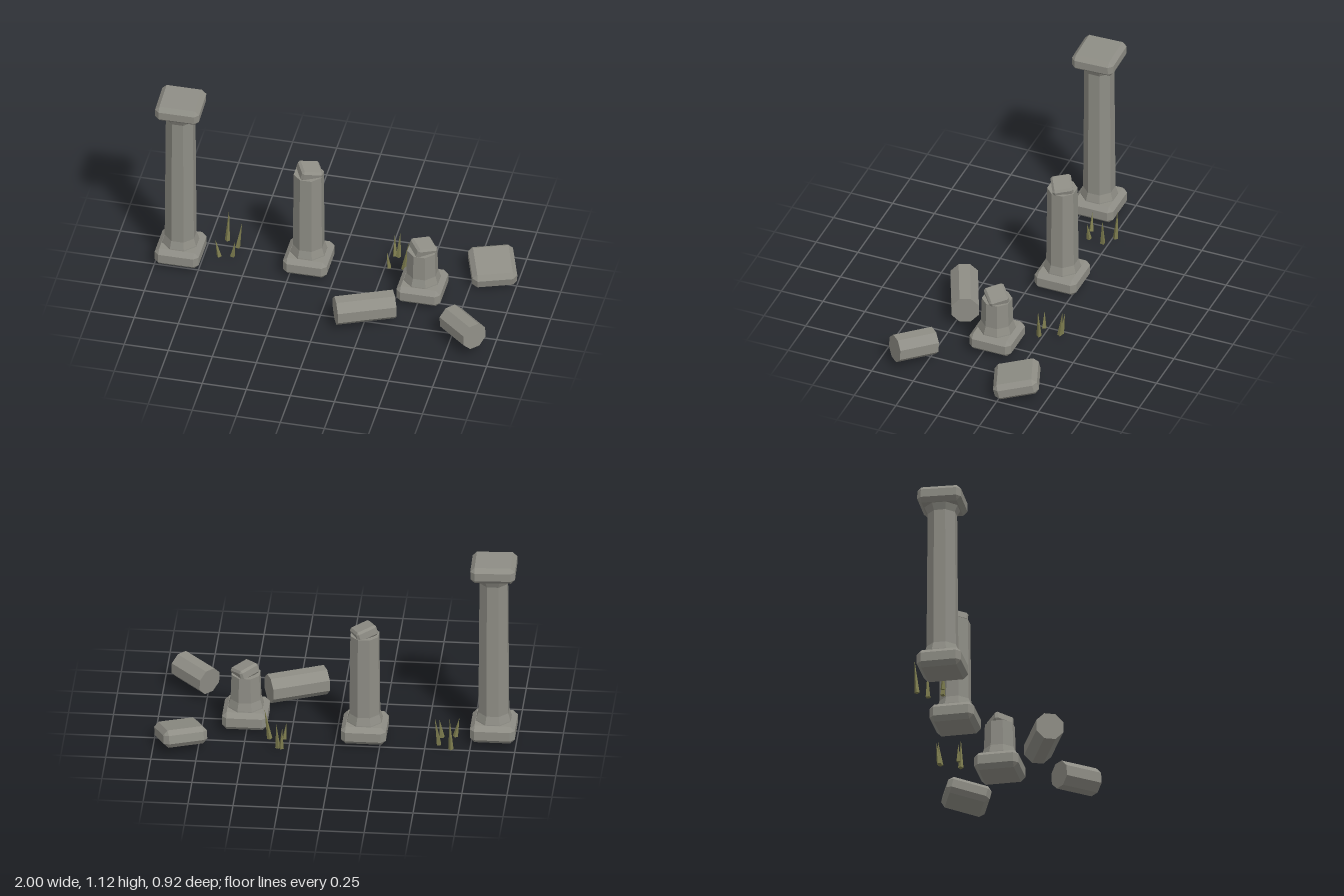
import * as THREE from 'three';
import { ConvexGeometry } from 'three/addons/geometries/ConvexGeometry.js';

export function createModel() {
  const root = new THREE.Group();
  root.name = 'ruinedColumns';
  const stone = new THREE.MeshStandardMaterial({ color: 0x8e8d85 });
  stone.name = 'stone';
  const grass = new THREE.MeshStandardMaterial({ color: 0x7d7c4e });
  grass.name = 'dryGrass';

  // Faceted normals for low-poly parts
  const faceted = (g) => {
    const f = g.index ? g.toNonIndexed() : g;
    f.computeVertexNormals();
    return f;
  };

  const add = (parent, name, geometry, material, x, y, z) => {
    const m = new THREE.Mesh(geometry, material);
    m.name = name;
    m.position.set(x, y, z);
    parent.add(m);
    return m;
  };

  // Block with every edge chamfered by b
  const block = (w, h, d, b) => {
    const pts = [];
    for (const sx of [-1, 1]) for (const sy of [-1, 1]) for (const sz of [-1, 1]) {
      const x = w / 2, y = h / 2, z = d / 2;
      pts.push(
        new THREE.Vector3(sx * x, sy * (y - b), sz * (z - b)),
        new THREE.Vector3(sx * (x - b), sy * y, sz * (z - b)),
        new THREE.Vector3(sx * (x - b), sy * (y - b), sz * z));
    }
    return faceted(new ConvexGeometry(pts));
  };

  // Eight-sided turned solid; radii are measured to the flats
  const octagon = (profile) => {
    const pts = profile.map(([r, y]) => new THREE.Vector2(r / Math.cos(Math.PI / 8), y));
    return faceted(new THREE.LatheGeometry(pts, 8).rotateY(Math.PI / 8));
  };

  const flare = [[0, 0.12], [0.098, 0.12], [0.096, 0.135], [0.083, 0.18]];
  const columns = [
    { name: 'tallColumn', x: -0.87, z: -0.085, top: 1.03 },
    { name: 'brokenColumn', x: -0.16, z: -0.16, top: 0.665, yaw: 0.5 },
    { name: 'columnStump', x: 0.51, z: -0.048, top: 0.33, yaw: 0.68 },
  ];
  for (const c of columns) {
    const g = new THREE.Group();
    g.name = c.name;
    g.position.set(c.x, 0, c.z);
    root.add(g);
    add(g, 'base', block(0.25, 0.105, 0.25, 0.026), stone, 0, 0.0775, 0);
    const whole = c.yaw === undefined;
    const end = whole
      ? [[0.077, c.top - 0.04], [0.095, c.top], [0, c.top]]
      : [[0.078, c.top], [0, c.top]];
    add(g, 'shaft', octagon([...flare, ...end]), stone, 0, 0, 0);
    if (whole) {
      const cap = add(g, 'capital', block(0.248, 0.094, 0.246, 0.024), stone, 0, 1.074, 0);
      cap.rotation.set(0.015, 0.02, -0.015);
    } else {
      // Tilted remnant on the broken end
      const chunk = add(g, 'brokenChunk', block(0.125, 0.062, 0.115, 0.012), stone, 0.005, c.top + 0.016, 0);
      chunk.rotation.set(0, c.yaw, -0.28, 'ZYX');
    }
  }

  // Fallen shaft pieces, each given by its two end centres
  const drums = [
    ['fallenShaft', [0.1, 0.107, 0.32], [0.403, 0.107, 0.188], 0.076],
    ['fallenShaftShort', [0.737, 0.11, 0.24], [0.908, 0.125, 0.4], 0.073],
  ];
  for (const [name, p, q, r] of drums) {
    const a = new THREE.Vector3(...p), b = new THREE.Vector3(...q);
    const h = a.distanceTo(b) / 2;
    const mid = a.clone().add(b).multiplyScalar(0.5);
    const m = add(root, name, octagon([[0, -h], [r, -h], [r, h], [0, h]]), stone, mid.x, mid.y, mid.z);
    // Lay the axis down, keeping a flat side underneath
    const dir = b.sub(a).normalize();
    const side = new THREE.Vector3(0, 1, 0).cross(dir).normalize();
    m.quaternion.setFromRotationMatrix(new THREE.Matrix4().makeBasis(side, dir, side.clone().cross(dir)));
  }

  // Capital lying on the ground, tipped up at the back
  const slab = add(root, 'fallenCapital', block(0.25, 0.1, 0.25, 0.026), stone, 0.85, 0.077, -0.308);
  slab.rotation.set(0.23, 0.35, 0, 'YXZ');

  // Grass blades: base x, z, then tip x, y, z
  const blades = [
    [-0.648, -0.275, -0.642, 0.225, -0.29],
    [-0.578, -0.227, -0.555, 0.195, -0.235],
    [-0.66, -0.125, -0.682, 0.14, -0.122],
    [-0.588, -0.142, -0.572, 0.135, -0.136],
    [0.288, -0.345, 0.282, 0.16, -0.36],
    [0.308, -0.34, 0.315, 0.18, -0.358],
    [0.28, -0.235, 0.268, 0.13, -0.232],
    [0.362, -0.238, 0.39, 0.21, -0.243],
  ];
  const tufts = new THREE.Group();
  tufts.name = 'grassTufts';
  root.add(tufts);
  blades.forEach(([x, z, tx, ty, tz], i) => {
    const foot = new THREE.Vector3(x, 0.025, z);
    const dir = new THREE.Vector3(tx, ty, tz).sub(foot);
    const len = dir.length();
    const cone = new THREE.ConeGeometry(0.015, len, 4).translate(0, len / 2, 0).rotateY(i * 0.7);
    const m = add(tufts, 'grassBlade', faceted(cone), grass, x, 0.025, z);
    m.quaternion.setFromUnitVectors(new THREE.Vector3(0, 1, 0), dir.normalize());
  });

  return root;
}
